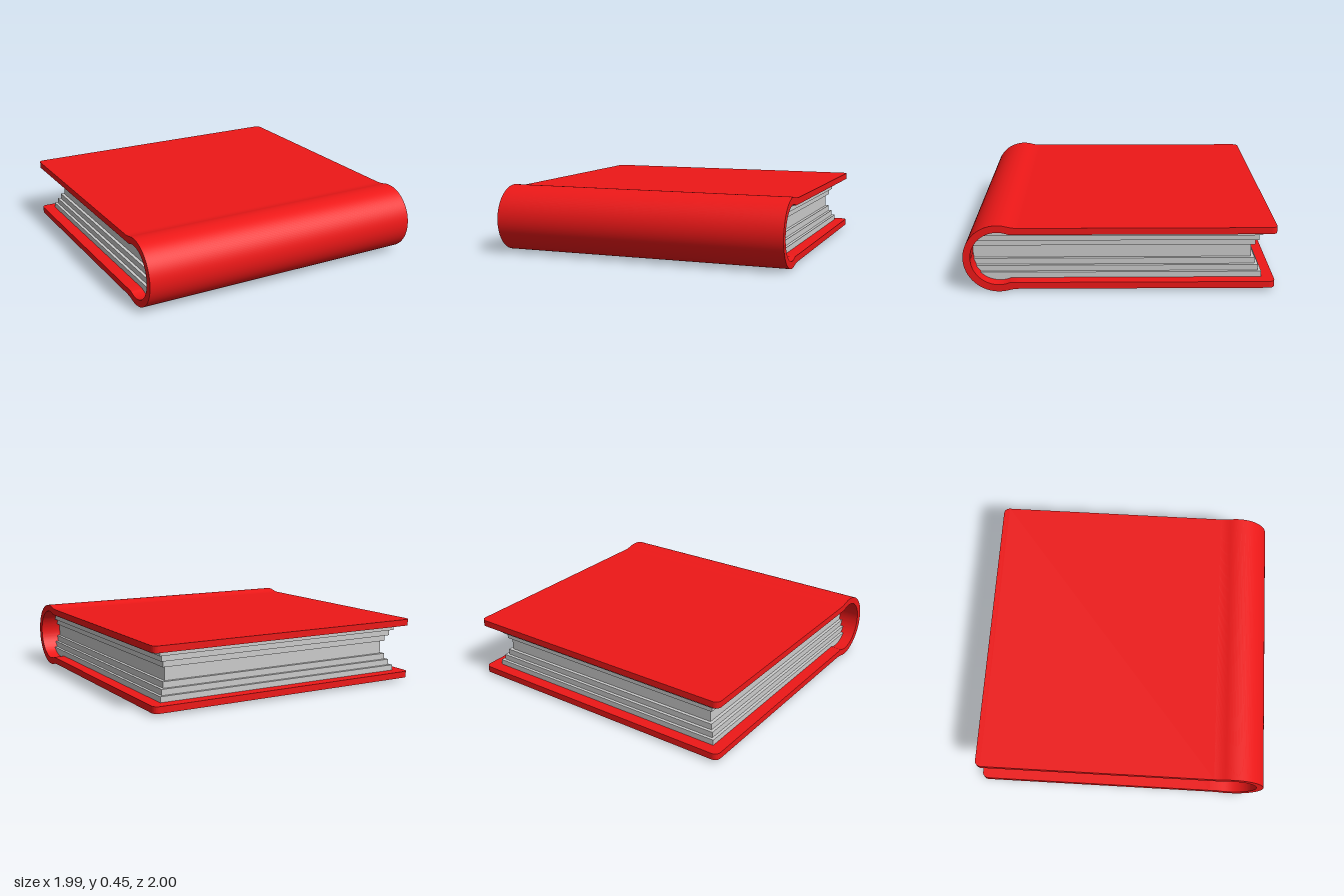
import * as THREE from 'three';
import { toCreasedNormals } from 'three/addons/utils/BufferGeometryUtils.js';

const HALF_W = 0.995;              // half the book's width along x
const MID = 0.225, SPINE_Z = 0.775; // centre of the rounded spine
const R_OUT = 0.225, R_IN = 0.178;  // spine radii
const B_OUT = 0.207, B_IN = 0.163;  // board faces, measured from MID
const JOIN_Z = 0.64;               // where the boards meet the spine

const red = new THREE.MeshStandardMaterial({ color: 0xee1818 });
const grey = new THREE.MeshStandardMaterial({ color: 0xcccccc });

// Extrudes a side profile (shape x = -z, shape y = height from MID) across the width
function extrudeAcross(shape, halfWidth) {
  const g = new THREE.ExtrudeGeometry(shape, { depth: 2 * halfWidth, bevelEnabled: false, curveSegments: 40 });
  g.translate(0, 0, -halfWidth);
  g.rotateY(Math.PI / 2);
  g.translate(0, MID, 0);
  return toCreasedNormals(g, 0.5);
}

function named(name, geometry, material) {
  const mesh = new THREE.Mesh(geometry, material);
  mesh.name = name;
  return mesh;
}

// Round spine with soft hinges running into the boards
function spine() {
  const a = 1.3, b = Math.asin(B_IN / R_IN);
  const s = new THREE.Shape();
  s.moveTo(-JOIN_Z, B_OUT);
  s.quadraticCurveTo(-0.679, B_OUT, -SPINE_Z + R_OUT * Math.cos(a), R_OUT * Math.sin(a));
  s.absarc(-SPINE_Z, 0, R_OUT, a, 2 * Math.PI - a, false);
  s.quadraticCurveTo(-0.679, -B_OUT, -JOIN_Z, -B_OUT);
  s.lineTo(-JOIN_Z, -B_IN);
  s.absarc(-SPINE_Z, 0, R_IN, 2 * Math.PI - b, b, true);
  s.lineTo(-JOIN_Z, B_IN);
  return extrudeAcross(s, HALF_W);
}

// Flat board with two rounded corners at the back
function board(y) {
  const r = 0.04, w = HALF_W;
  const s = new THREE.Shape();
  s.moveTo(-w, -JOIN_Z);
  s.lineTo(w, -JOIN_Z);
  s.lineTo(w, 1 - r);
  s.absarc(w - r, 1 - r, r, 0, Math.PI / 2, false);
  s.absarc(-w + r, 1 - r, r, Math.PI / 2, Math.PI, false);
  const g = new THREE.ExtrudeGeometry(s, { depth: B_OUT - B_IN, bevelEnabled: false, curveSegments: 8 });
  g.rotateX(-Math.PI / 2);
  g.translate(0, y, 0);
  return toCreasedNormals(g, 0.5);
}

// One block of pages whose front edge follows the inside of the spine
function pageLayer(y0, y1, inset) {
  const angle = (y) => {
    const a = Math.asin(y / R_IN);
    if (y >= B_IN) return a;
    return y <= -B_IN ? 2 * Math.PI + a : Math.PI - a;
  };
  const back = 1 - inset;
  const s = new THREE.Shape();
  s.moveTo(back, y0);
  s.lineTo(back, y1);
  s.absarc(-SPINE_Z, 0, R_IN, angle(y1), angle(y0), false);
  return extrudeAcross(s, HALF_W - inset);
}

export function createModel() {
  const book = new THREE.Group();
  book.name = 'book';

  const cover = new THREE.Group();
  cover.name = 'cover';
  cover.add(
    named('spine', spine(), red),
    named('topBoard', board(MID + B_IN), red),
    named('bottomBoard', board(MID - B_OUT), red)
  );

  // Page layers step inwards towards the middle of the book
  const pages = new THREE.Group();
  pages.name = 'pages';
  const levels = [-B_IN, -0.125, -0.086, -0.045, 0.045, 0.086, 0.125, B_IN];
  const insets = [0.08, 0.1, 0.121, 0.143, 0.121, 0.1, 0.08];
  insets.forEach((inset, i) =>
    pages.add(named('pageLayer' + (i + 1), pageLayer(levels[i], levels[i + 1], inset), grey)));

  book.add(cover, pages);
  return book;
}
